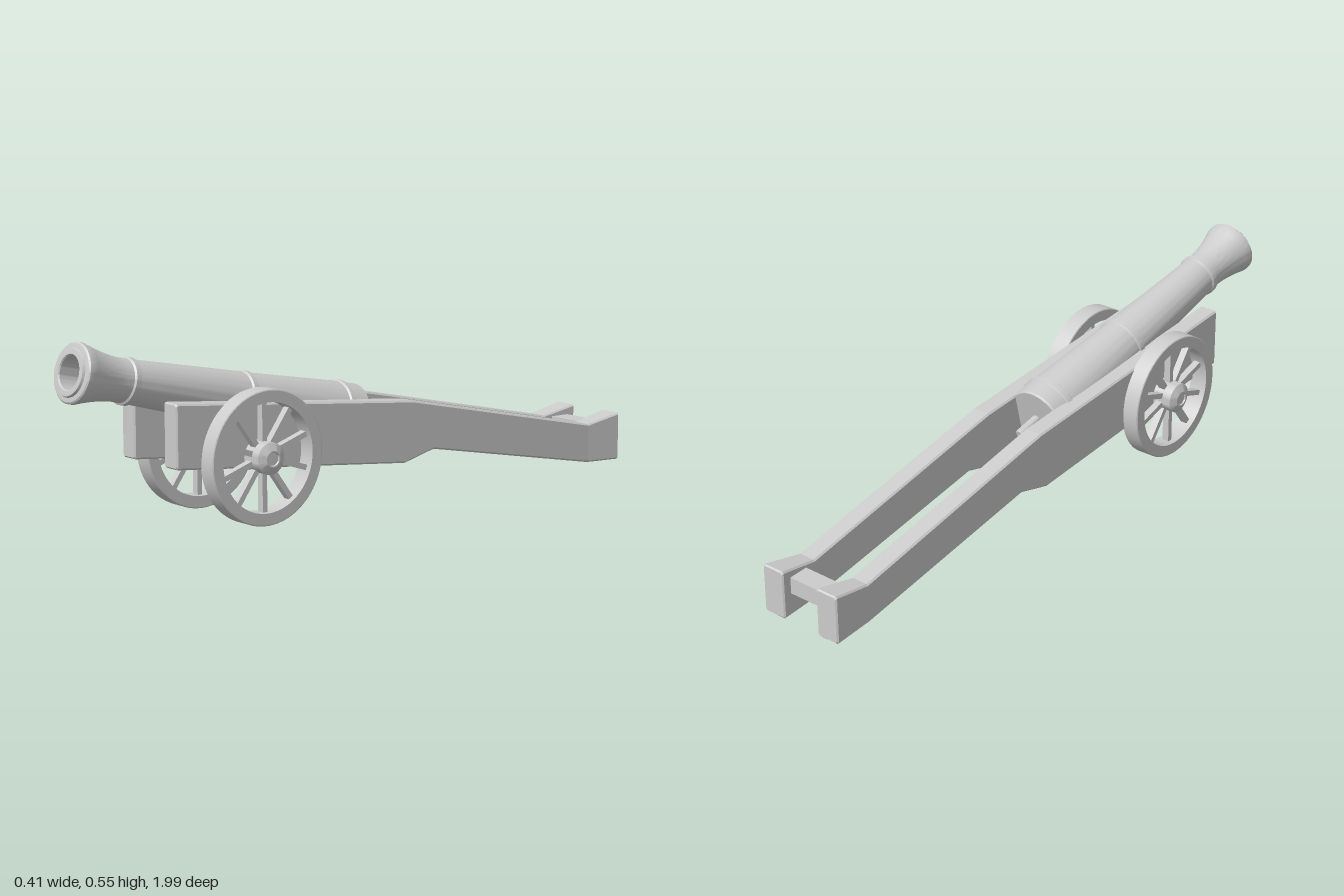
import * as THREE from 'three';
import { toCreasedNormals } from 'three/addons/utils/BufferGeometryUtils.js';

const grey = new THREE.MeshStandardMaterial({ color: 0xcccccc });

function part(name, geometry, parent) {
  const mesh = new THREE.Mesh(geometry, grey);
  mesh.name = name;
  parent.add(mesh);
  return mesh;
}

// Turned part from [radius, height] pairs, with crisp edges
function turned(profile, segments = 48) {
  const points = profile.map(([r, h]) => new THREE.Vector2(r, h));
  return toCreasedNormals(new THREE.LatheGeometry(points, segments), 0.5);
}

// Long beam with chamfered edges through [z, top, bottom, halfWidth] sections, front to back
function beam(sections, c) {
  const pos = [], index = [], n = 8;
  for (const [z, t, b, w] of sections) {
    const ring = [[w, b + c], [w, t - c], [w - c, t], [c - w, t], [-w, t - c], [-w, b + c], [c - w, b], [w - c, b]];
    for (const [x, y] of ring) pos.push(x, y, z);
  }
  const last = (sections.length - 1) * n;
  for (let i = 0; i < last; i += n) {
    for (let j = 0; j < n; j++) {
      const k = (j + 1) % n;
      index.push(i + j, i + n + j, i + k, i + k, i + n + j, i + n + k);
    }
  }
  for (let j = 1; j < n - 1; j++) index.push(0, j, j + 1, last, last + j + 1, last + j);
  const g = new THREE.BufferGeometry();
  g.setAttribute('position', new THREE.Float32BufferAttribute(pos, 3));
  g.setIndex(index);
  const flat = g.toNonIndexed();
  flat.computeVertexNormals();
  return flat;
}

function createBarrel() {
  const barrel = new THREE.Group();
  barrel.name = 'barrel';
  // Raised band around the tube
  const band = (s, r) => [[r, s - 0.012], [r + 0.005, s - 0.008], [r + 0.005, s + 0.008], [r, s + 0.012]];
  const flare = [];
  for (let i = 0; i <= 8; i++) {
    const t = i / 8;
    flare.push([0.061 + 0.024 * t ** 1.7, 0.85 + 0.132 * t]);
  }
  part('tube', turned([
    [0, 0], [0.092, 0], [0.097, 0.005],
    ...band(0.068, 0.096), ...band(0.42, 0.078), ...band(0.82, 0.062),
    ...flare,
    [0.085, 0.994], [0.081, 0.998], [0.068, 1.0], [0.065, 1.007],
    [0.05, 1.007], [0.047, 1.003], [0.047, 0.4], [0, 0.4],
  ], 64), barrel);
  part('breechKnob', turned([[0, -0.082], [0.011, -0.082], [0.014, -0.079], [0.014, 0.01]], 24), barrel);
  barrel.position.set(0, 0.235, 0);
  barrel.rotation.x = Math.PI / 2 - 0.233;
  return barrel;
}

function createWheel(name) {
  const wheel = new THREE.Group();
  wheel.name = name;
  // Built around +x, with x = 0 at the inner face
  part('rim', turned([
    [0.157, 0], [0.19, 0], [0.193, 0.002], [0.193, 0.055], [0.19, 0.057], [0.157, 0.057], [0.157, 0],
  ], 64).rotateZ(-Math.PI / 2), wheel);
  part('hub', turned([
    [0, 0], [0.046, 0], [0.046, 0.068], [0.024, 0.08], [0.02, 0.08], [0.018, 0.076], [0, 0.076],
  ], 32).rotateZ(-Math.PI / 2), wheel);
  const count = 10;
  for (let i = 0; i < count; i++) {
    const g = new THREE.BoxGeometry(0.022, 0.13, 0.016).translate(0.028, 0.1, 0);
    part('spoke', g, wheel).rotation.x = (i / count) * Math.PI * 2;
  }
  return wheel;
}

export function createModel() {
  const model = new THREE.Group();
  model.name = 'fieldCannon';
  model.add(createBarrel());

  // Carriage side beams, dropping to the ground and flaring at the tail
  const sections = [
    [0.72, 0.364, 0.189, 0.026], [0.716, 0.368, 0.185, 0.03],
    [-0.105, 0.286, 0.1, 0.03], [-0.135, 0.283, 0.107, 0.03], [-0.22, 0.265, 0.128, 0.03],
    [-0.87, 0.126, 0.004, 0.03], [-0.996, 0.149, 0, 0.038], [-1.0, 0.145, 0.004, 0.034],
  ];
  for (const side of [1, -1]) {
    const label = side > 0 ? 'left' : 'right';
    part(label + 'CarriageBeam', beam(sections, 0.005), model).position.x = side * 0.1;

    const wheel = createWheel(label + 'Wheel');
    wheel.position.set(side * 0.125, 0.193, 0.445);
    if (side < 0) wheel.rotation.y = Math.PI;
    model.add(wheel);
  }

  // Cross pieces between the beams
  const rod = new THREE.CylinderGeometry(0.026, 0.026, 0.16, 32).rotateZ(Math.PI / 2);
  part('crossRod', rod, model).position.set(0, 0.232, 0.5);
  const tail = new THREE.BoxGeometry(0.15, 0.05, 0.065);
  part('tailCrossbar', tail, model).position.set(0, 0.095, -0.938);

  return model;
}
